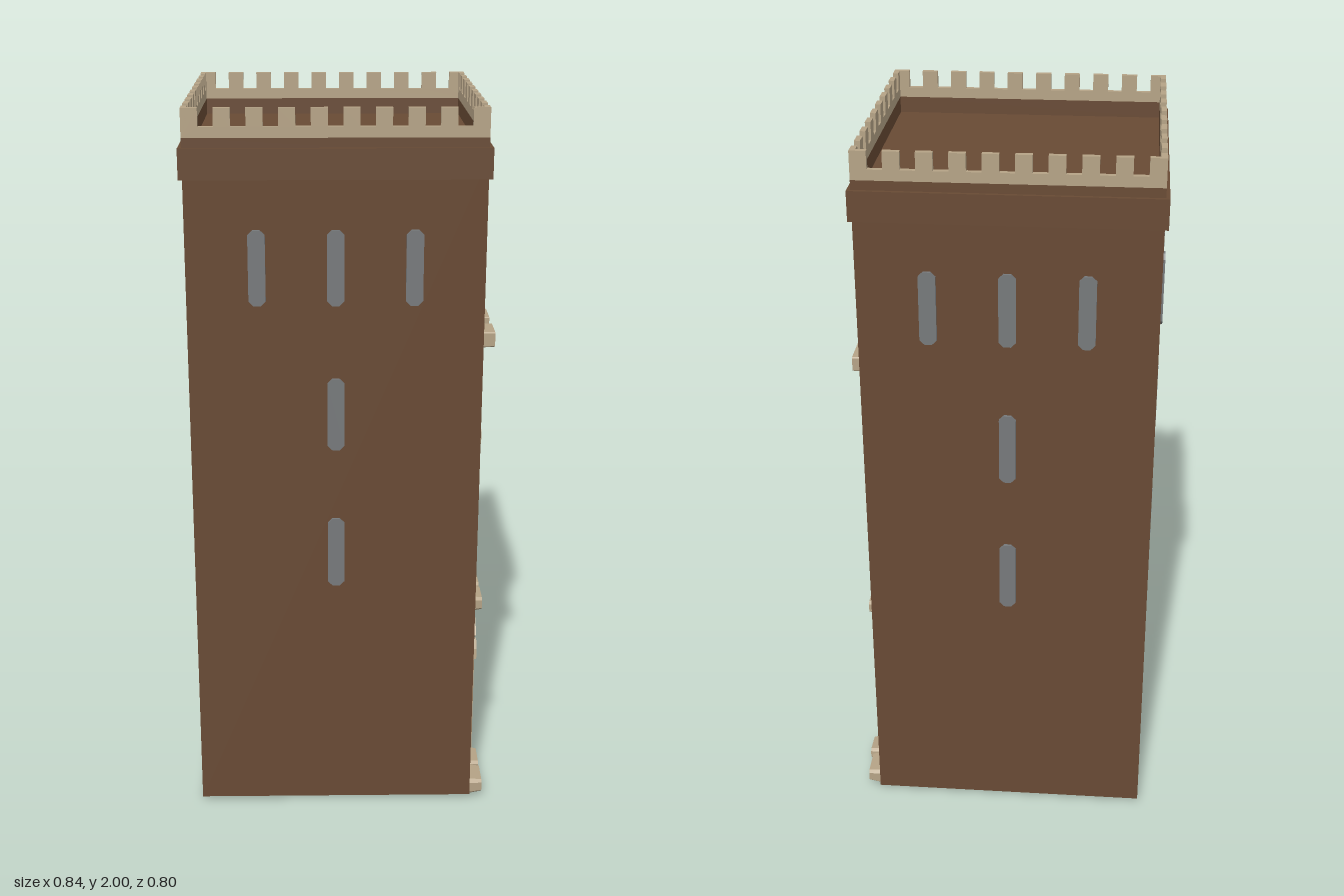
import * as THREE from 'three';

const paint = (name, color) => Object.assign(new THREE.MeshStandardMaterial({ color }), { name, flatShading: true });

const H = 0.39; // half width of the tower

export function createModel() {
  const wall = paint('brown wall', 0x684a34);
  const stone = paint('pale stone', 0xb5a386);
  const slit = paint('grey window', 0x76797b);
  const wood = paint('door wood', 0x9b745a);

  const model = new THREE.Group();
  model.name = 'tower';
  model.position.x = -0.02;

  function add(parent, name, geo, mat, x = 0, y = 0, z = 0) {
    const m = new THREE.Mesh(geo, mat);
    m.name = name;
    m.position.set(x, y, z);
    parent.add(m);
    return m;
  }
  const extrude = (shape, depth) =>
    new THREE.ExtrudeGeometry(shape, { depth, bevelEnabled: false, curveSegments: 8 });
  const poly = pts => new THREE.Shape(pts.map(p => new THREE.Vector2(p[0], p[1])));
  const square = r => poly([[-r, -r], [r, -r], [r, r], [-r, r]]);

  // Horizontal square ring
  function ring(name, outer, inner, y0, y1) {
    const s = square(outer);
    s.holes.push(square(inner));
    add(model, name, extrude(s, y1 - y0).rotateX(-Math.PI / 2), wall, 0, y0, 0);
  }

  // Body with its sunken roof, rim and projecting band
  add(model, 'body', new THREE.BoxGeometry(2 * H, 1.87, 2 * H), wall, 0, 0.945, 0);
  ring('roofRim', H, H - 0.015, 1.88, 1.925);
  ring('band', 0.4, 0.385, 1.82, 1.9);

  // Crenellated parapet outline
  const count = 10, merlon = 0.043, gap = (2 * H - count * merlon) / (count - 1);
  const crenels = [[-H, 1.925], [H, 1.925]];
  for (let i = count - 1; i >= 0; i--) {
    const x = -H + i * (merlon + gap);
    crenels.push([x + merlon, 2], [x, 2]);
    if (i > 0) crenels.push([x, 1.953], [x - gap, 1.953]);
  }
  const parapetGeo = extrude(poly(crenels), 0.015);

  // Narrow window with chamfered ends
  const w = 0.0225, h = 0.1, c = 0.013;
  const slitGeo = extrude(poly([
    [-w + c, -h], [w - c, -h], [w, -h + c], [w, h - c],
    [w - c, h], [-w + c, h], [-w, h - c], [-w, -h + c],
  ]), 0.009);
  const slits = [[-0.205, 1.59], [0, 1.59], [0.205, 1.59], [0, 1.19], [0, 0.79]];

  // Four matching sides
  const sides = ['front', 'right', 'back', 'left'].map((name, i) => {
    const g = new THREE.Group();
    g.name = name + 'Side';
    g.rotation.y = i * Math.PI / 2;
    model.add(g);
    add(g, 'parapet', parapetGeo, stone, 0, 0, H - 0.015);
    slits.forEach(([x, y]) => add(g, 'window', slitGeo, slit, x, y, H));
    return g;
  });
  const face = sides[1];

  // Stone block whose outer face is drawn in by a chamfer
  function block(x0, x1, y, height, depth, chamfer) {
    const width = x1 - x0;
    const r = chamfer;
    const s = poly([
      [-width / 2 + r, -height / 2], [width / 2 - r, -height / 2],
      [width / 2, -height / 2 + r], [width / 2, height / 2 - r],
      [width / 2 - r, height / 2], [-width / 2 + r, height / 2],
      [-width / 2, height / 2 - r], [-width / 2, -height / 2 + r],
    ]);
    const geo = extrude(s, depth);
    const p = geo.attributes.position;
    for (let i = 0; i < p.count; i++) {
      if (p.getZ(i) > depth / 2) {
        p.setX(i, p.getX(i) * (1 - r / width));
        p.setY(i, p.getY(i) * (1 - r / height));
      }
    }
    geo.computeVertexNormals();
    return add(face, 'stone', geo, stone, (x0 + x1) / 2, y, H);
  }

  // Rows of projecting stones: height, size, depth, chamfer, spans
  const rows = [
    [1.383, 0.043, 0.035, 0.003, [[-0.35, -0.255], [-0.195, -0.1], [0.1, 0.195], [0.207, 0.307]]],
    [1.047, 0.045, 0.025, 0.003, [[-0.182, -0.086], [-0.07, 0.022]]],
    [0.577, 0.046, 0.03, 0.009, [[-0.295, -0.2], [-0.192, -0.1], [-0.086, 0.012], [0.082, 0.175], [0.18, 0.277]]],
    [0.035, 0.048, 0.035, 0.009, [[-0.393, -0.295], [-0.292, -0.196], [0.287, 0.387]]],
  ];
  for (const [y, height, depth, chamfer, spans] of rows) {
    for (const [a, b] of spans) block(a, b, y, height, depth, chamfer);
  }
  block(0.196, 0.285, 0.033, 0.042, 0.046, 0.009).rotation.z = 0.1;

  // Arched door with two cross beams
  const SPRING = 0.345;
  const door = poly([[-0.127, 0.005], [0.127, 0.005], [0.127, SPRING]]);
  door.absellipse(0, SPRING, 0.127, 0.075, 0, Math.PI, false);
  add(face, 'door', extrude(door, 0.009), wood, 0, 0, H);
  for (const y of [0.17, 0.302]) {
    add(face, 'doorBeam', new THREE.BoxGeometry(0.246, 0.04, 0.018), wall, 0, y, H + 0.009);
  }

  // Door jambs
  for (const s of [-1, 1]) {
    add(face, 'doorJamb', new THREE.BoxGeometry(0.066, SPRING, 0.024), stone, s * 0.158, SPRING / 2, H + 0.012);
  }

  // Arch stones, mirrored about the crown
  const cuts = [0, 27, 52, 75, 90];
  const at = (deg, rx, ry) => {
    const a = THREE.MathUtils.degToRad(deg);
    return [Math.cos(a) * rx, SPRING + Math.sin(a) * ry];
  };
  for (let i = 0; i < cuts.length - 1; i++) {
    const a = cuts[i] + 1.2, b = cuts[i + 1] - 1.2, m = (a + b) / 2;
    const right = [
      at(a, 0.125, 0.072), at(a, 0.192, 0.15), at(m, 0.192, 0.15),
      at(b, 0.192, 0.15), at(b, 0.125, 0.072),
    ];
    const left = right.map(([x, y]) => [-x, y]).reverse();
    for (const pts of [right, left]) add(face, 'archStone', extrude(poly(pts), 0.03), stone, 0, 0, H);
  }

  const root = new THREE.Group();
  root.name = 'stoneTower';
  root.add(model);
  return root;
}
